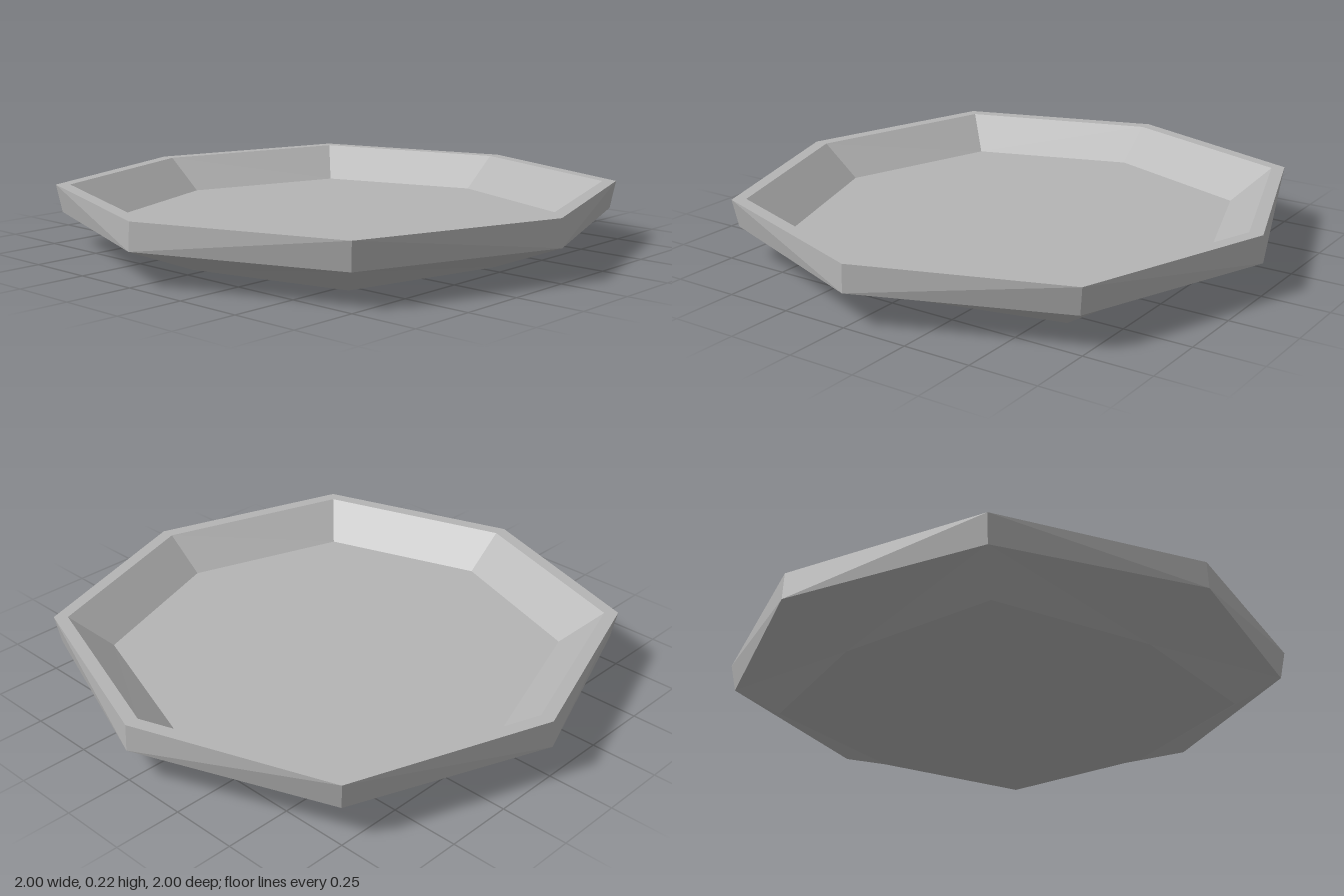
import * as THREE from 'three';

const SIDES = 8;

// Eight-sided ring: corners alternate between the axes (radius a) and the diagonals (offset d on x and z)
function ring(a, ya, d, yd) {
  return Array.from({ length: SIDES }, (_, i) => {
    const t = (i * Math.PI * 2) / SIDES;
    const onAxis = i % 2 === 0;
    const r = onAxis ? a : d * Math.SQRT2;
    return [r * Math.sin(t), onAxis ? ya : yd, r * Math.cos(t)];
  });
}

function surface(name, positions, material) {
  const geometry = new THREE.BufferGeometry();
  geometry.setAttribute('position', new THREE.Float32BufferAttribute(positions.flat(), 3));
  geometry.computeVertexNormals(); // unshared corners keep every facet flat
  const mesh = new THREE.Mesh(geometry, material);
  mesh.name = name;
  return mesh;
}

// Band of facets between two rings, walking along the section from bottom to top outside
function band(name, from, to, material) {
  const p = [];
  for (let i = 0; i < SIDES; i++) {
    const j = (i + 1) % SIDES;
    // fold each facet from its axis corner on the first ring
    if (i % 2 === 0) p.push(from[i], from[j], to[j], from[i], to[j], to[i]);
    else p.push(from[i], from[j], to[i], from[j], to[j], to[i]);
  }
  return surface(name, p, material);
}

// Fan of triangles closing a ring around a centre point
function cap(name, edge, y, up, material) {
  const p = [];
  for (let i = 0; i < SIDES; i++) {
    const a = edge[i], b = edge[(i + 1) % SIDES];
    p.push([0, y, 0], ...(up ? [a, b] : [b, a]));
  }
  return surface(name, p, material);
}

export function createModel() {
  const grey = new THREE.MeshStandardMaterial({ color: 0xb4b4b4, flatShading: true });
  grey.name = 'plain grey';

  // Section rings
  const base = ring(0.73, 0.015, 0.6, 0.02);
  const shoulder = ring(1, 0.12, 0.725, 0.12);
  const rimOuter = ring(0.995, 0.22, 0.74, 0.223);
  const rimInner = ring(0.943, 0.22, 0.703, 0.223);
  const well = ring(0.793, 0.1, 0.59, 0.1);

  const dish = new THREE.Group();
  dish.name = 'dish';
  dish.add(
    cap('bottom', base, 0, false, grey),
    band('slopingUnderside', base, shoulder, grey),
    band('outerWall', shoulder, rimOuter, grey),
    band('rim', rimOuter, rimInner, grey),
    band('innerWall', rimInner, well, grey),
    cap('floor', well, 0.1, true, grey),
  );
  return dish;
}
